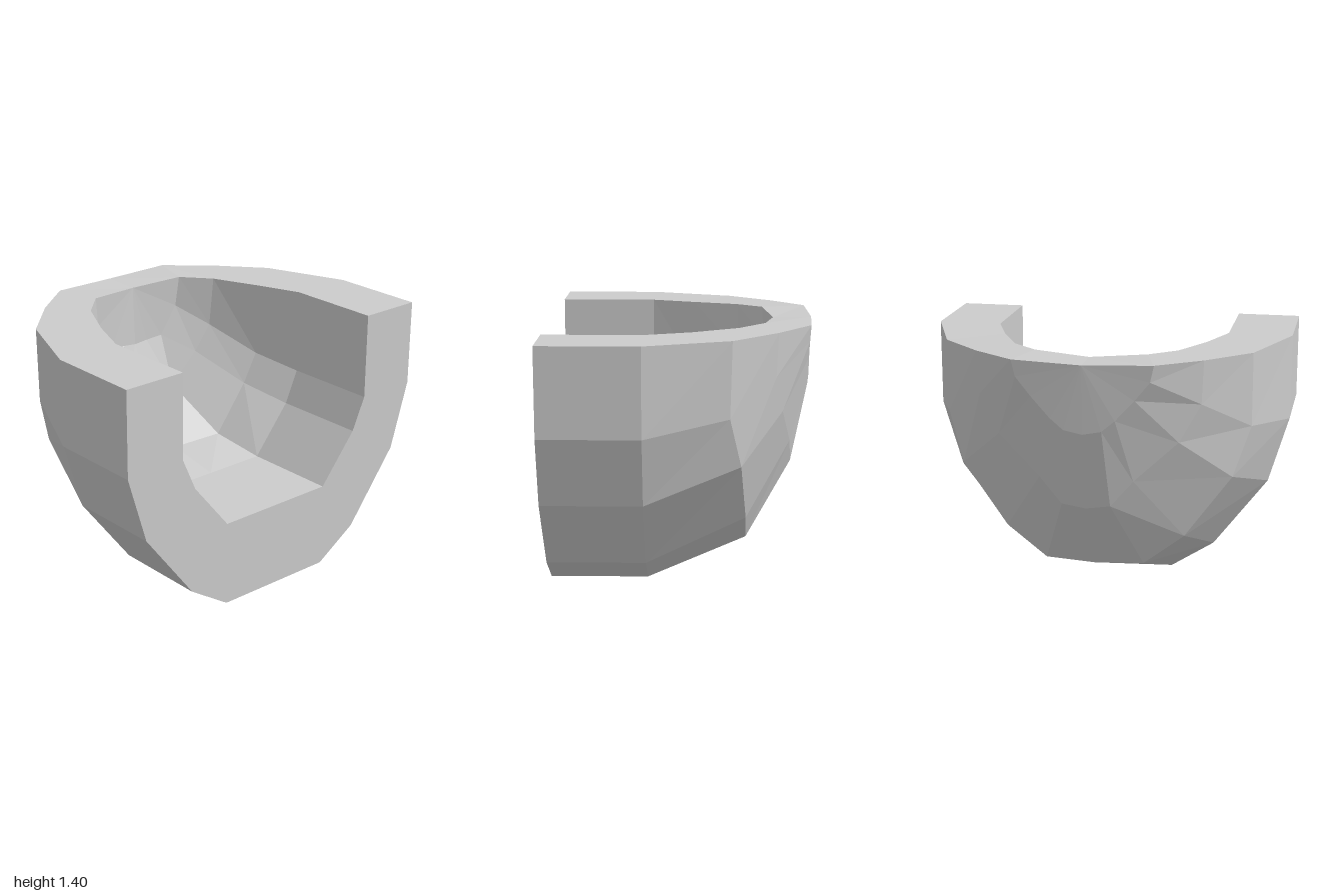
import * as THREE from 'three';

const material = new THREE.MeshStandardMaterial({ color: 0xcccccc, flatShading: true });

// Skin a grid of points: rows of equal length, each point [x, y, z]
function skin(name, rows, flip = false) {
  const pos = [];
  const tri = (a, b, c) => {
    const same = (p, q) => p.every((v, k) => v === q[k]);
    if (same(a, b) || same(b, c) || same(a, c)) return;
    pos.push(...a, ...(flip ? [...c, ...b] : [...b, ...c]));
  };
  for (let i = 0; i < rows.length - 1; i++) {
    for (let j = 0; j < rows[i].length - 1; j++) {
      const a = rows[i][j], b = rows[i][j + 1], c = rows[i + 1][j], d = rows[i + 1][j + 1];
      tri(a, b, c);
      tri(b, d, c);
    }
  }
  const g = new THREE.BufferGeometry();
  g.setAttribute('position', new THREE.Float32BufferAttribute(pos, 3));
  g.computeVertexNormals();
  const mesh = new THREE.Mesh(g, material);
  mesh.name = name;
  return mesh;
}

const mirror = ([x, y, z]) => [-x, y, z];
// Half section (rim to middle) made into a full U, left rim to right rim
const fullRow = half => [...half, ...half.slice(0, -1).reverse().map(mirror)];
const atZ = (profile, z) => profile.map(([x, y]) => [x, y, z]);

export function createModel() {
  const group = new THREE.Group();
  group.name = 'openShell';

  // Straight front part: U profiles from rim to middle
  const outerProfile = [[1, 1.39], [1, 0.92], [0.89, 0.55], [0.59, 0.155], [0.35, 0], [0, 0]];
  const innerProfile = [[0.65, 1.39], [0.65, 0.92], [0.57, 0.74], [0.35, 0.47], [0, 0.47]];
  const outerPole = [0, 1.39, -0.71], innerPole = [0, 1.385, -0.5];

  // Sections shrinking towards the back of the rim
  const outer = [
    atZ(outerProfile, 0.71),
    atZ(outerProfile, 0.18),
    [[0.83, 1.39, -0.27], [0.83, 0.99, -0.26], [0.74, 0.72, -0.32], [0.49, 0.38, -0.35], [0.27, 0.21, -0.355], [0, 0.2, -0.37]],
    [[0.6, 1.395, -0.51], [0.59, 1.16, -0.5], [0.48, 0.96, -0.54], [0.25, 0.75, -0.59], [0.13, 0.61, -0.6], [0, 0.59, -0.6]],
    [[0.37, 1.4, -0.69], [0.35, 1.31, -0.685], [0.27, 1.21, -0.685], [0.17, 1.1, -0.69], [0.1, 1.04, -0.69], [0, 1.02, -0.69]],
    Array(6).fill(outerPole),
  ];
  const inner = [
    atZ(innerProfile, 0.71),
    atZ(innerProfile, 0.18),
    [[0.56, 1.39, -0.06], [0.56, 0.98, -0.07], [0.48, 0.81, -0.08], [0.29, 0.54, -0.09], [0, 0.525, -0.13]],
    [[0.44, 1.395, -0.31], [0.42, 1.12, -0.32], [0.33, 0.97, -0.34], [0.18, 0.79, -0.37], [0, 0.78, -0.375]],
    [[0.3, 1.4, -0.45], [0.28, 1.23, -0.46], [0.18, 1.07, -0.47], [0.08, 1.06, -0.48], [0, 1.05, -0.485]],
    Array(5).fill(innerPole),
  ];

  group.add(skin('outerWall', outer.map(fullRow)));
  group.add(skin('innerWall', inner.map(fullRow), true));

  // Flat rim running around the top
  const rimLoop = sections => fullRow(sections.map(s => s[0]));
  group.add(skin('topRim', [rimLoop(outer), rimLoop(inner)]));

  // U-shaped front face
  const outline = [...fullRow(outer[0]), ...fullRow(inner[0]).reverse()];
  const shape = new THREE.Shape(outline.map(([x, y]) => new THREE.Vector2(x, y)));
  const face = new THREE.Mesh(new THREE.ShapeGeometry(shape), material);
  face.position.z = 0.71;
  face.name = 'frontFace';
  group.add(face);

  return group;
}
